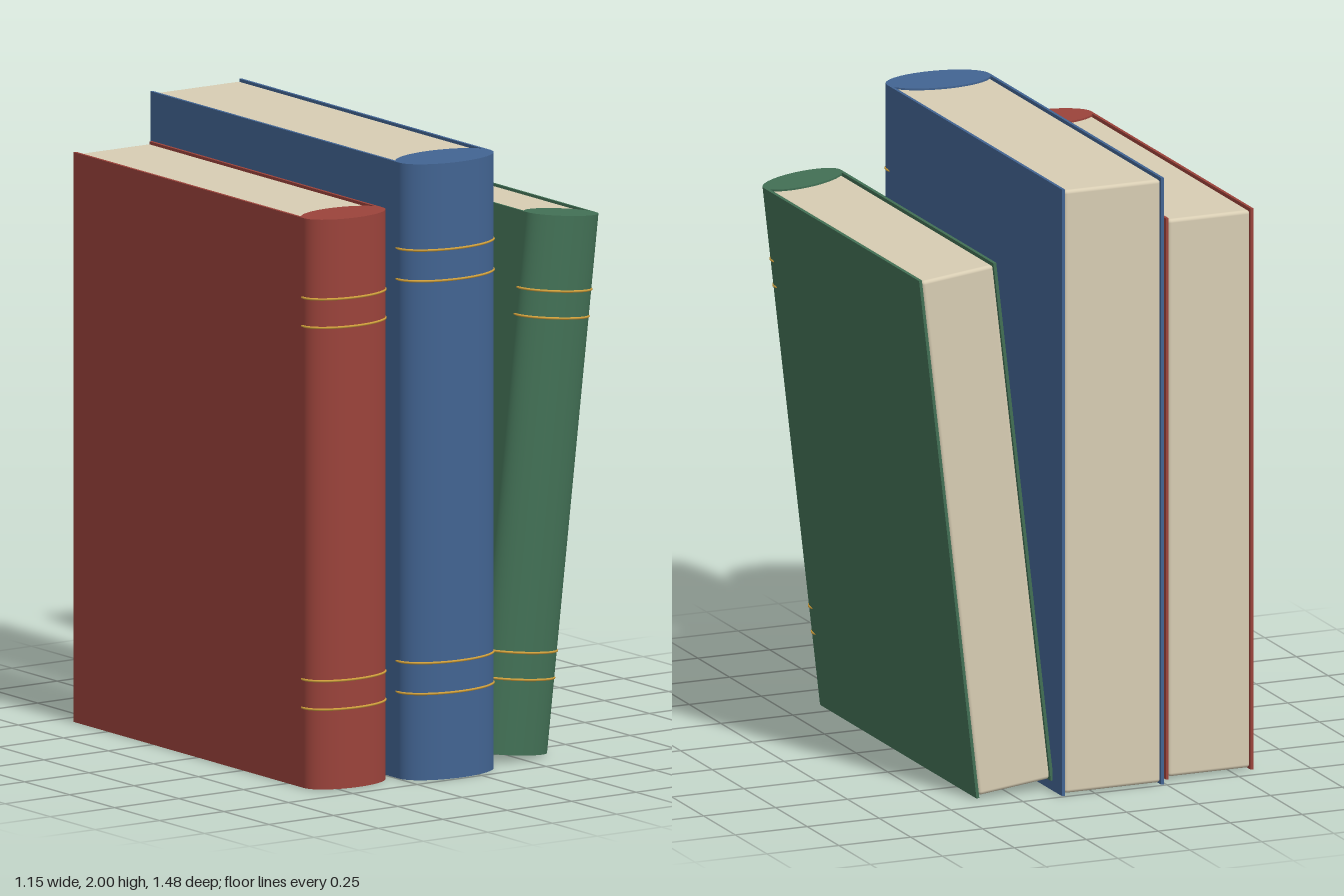
import * as THREE from 'three';
import { RoundedBoxGeometry } from 'three/addons/geometries/RoundedBoxGeometry.js';

const mat = (name, color) => {
  const m = new THREE.MeshStandardMaterial({ color });
  m.name = name;
  return m;
};

// Closed ellipse in the horizontal plane, used as the path of a gilt band
class EllipsePath extends THREE.Curve {
  constructor(rx, rz) {
    super();
    this.rx = rx;
    this.rz = rz;
  }
  getPoint(t, target = new THREE.Vector3()) {
    const a = t * Math.PI * 2;
    return target.set(Math.cos(a) * this.rx, 0, Math.sin(a) * this.rz);
  }
}

// One upright book, its centre at x = 0 and its height centred on y = 0
function makeBook(name, { width, height, back, spineZ, spineDepth }, cloth, paper, gilt) {
  const book = new THREE.Group();
  book.name = name;
  const add = (part, geometry, material, x, y, z) => {
    const mesh = new THREE.Mesh(geometry, material);
    mesh.name = part;
    mesh.position.set(x, y, z);
    book.add(mesh);
    return mesh;
  };

  const board = 0.01;
  const depth = spineZ - back;
  const midZ = (spineZ + back) / 2;

  // Cover boards
  for (const [part, side] of [['leftCover', 1], ['rightCover', -1]]) {
    add(part, new THREE.BoxGeometry(board, height, depth), cloth, side * (width - board) / 2, 0, midZ);
  }

  // Page block, slightly inside the boards
  add('pages', new RoundedBoxGeometry(width - 2 * board, height - 0.012, depth - 0.004, 3, 0.012),
    paper, 0, 0, midZ);

  // Rounded spine
  const spine = new THREE.CylinderGeometry(1, 1, height, 48);
  spine.scale(width / 2, 1, spineDepth);
  add('spine', spine, cloth, 0, 0, spineZ);

  // Two pairs of gilt bands
  const path = new EllipsePath(width / 2, spineDepth);
  const band = new THREE.TubeGeometry(path, 64, 0.004, 6, true);
  for (const f of [0.14, 0.19, 0.81, 0.86]) {
    add('spineBand', band, gilt, 0, (f - 0.5) * height, spineZ);
  }
  return book;
}

export function createModel() {
  const model = new THREE.Group();
  model.name = 'bookRow';

  const paper = mat('paper', 0xd8cdb3);
  const gilt = mat('gilt', 0xd0a03c);
  const red = mat('redCloth', 0x9b433b);
  const blue = mat('blueCloth', 0x426492);
  const green = mat('greenCloth', 0x427055);

  const redBook = makeBook('redBook',
    { width: 0.305, height: 1.85, back: -0.69, spineZ: 0.59, spineDepth: 0.085 }, red, paper, gilt);
  redBook.position.set(-0.425, 0.925, 0);

  const blueBook = makeBook('blueBook',
    { width: 0.355, height: 2, back: -0.74, spineZ: 0.64, spineDepth: 0.099 }, blue, paper, gilt);
  blueBook.position.set(-0.067, 1, 0);

  // The green book leans against the blue one
  const greenBook = makeBook('greenBook',
    { width: 0.27, height: 1.74, back: -0.665, spineZ: 0.562, spineDepth: 0.078 }, green, paper, gilt);
  greenBook.position.set(0.34, 0.882, 0);
  greenBook.rotation.z = -0.115;

  model.add(redBook, blueBook, greenBook);
  return model;
}
